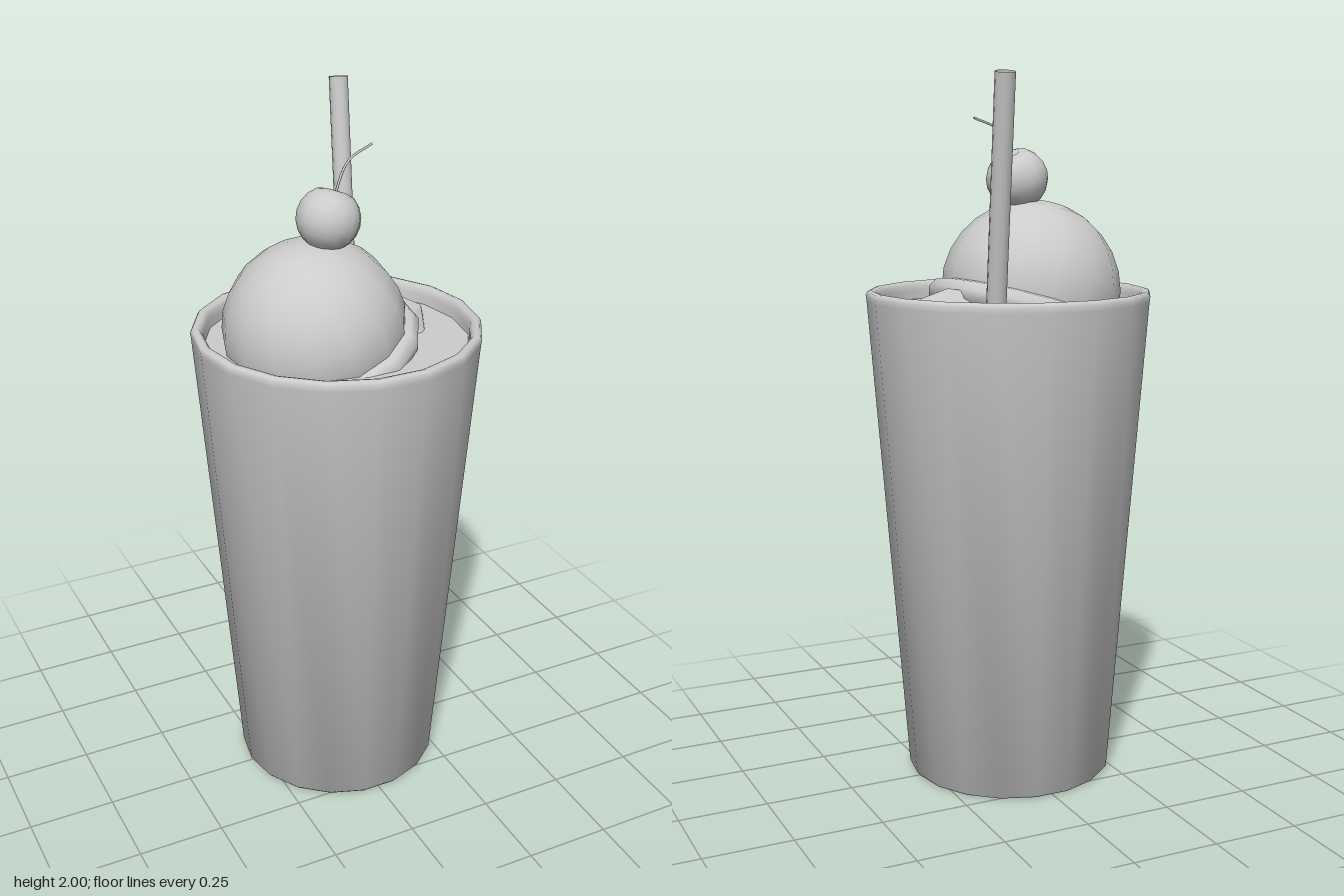
import * as THREE from 'three';
import { toCreasedNormals } from 'three/addons/utils/BufferGeometryUtils.js';
import { ConvexGeometry } from 'three/addons/geometries/ConvexGeometry.js';

const grey = new THREE.MeshStandardMaterial({ color: 0xcccccc, side: THREE.DoubleSide });
const faceted = new THREE.MeshStandardMaterial({ color: 0xcccccc, flatShading: true });
const v = (x, y, z) => new THREE.Vector3(x, y, z);

function mesh(name, geometry, material = grey) {
  const m = new THREE.Mesh(geometry, material);
  m.name = name;
  return m;
}

// Turned part from [radius, height] pairs, smooth except at sharp edges
function turned(name, profile, segments, crease = 0.8) {
  const points = profile.map(([r, y]) => new THREE.Vector2(r, y));
  return mesh(name, toCreasedNormals(new THREE.LatheGeometry(points, segments), crease));
}

export function createModel() {
  const model = new THREE.Group();
  model.name = 'icedDrink';

  // Tapered cup with a rounded rim and inner wall
  const cup = turned('cup', [
    [0, 0], [0.289, 0], [0.296, 0.008], [0.403, 1.385], [0.405, 1.4], [0.4, 1.409],
    [0.39, 1.412], [0.38, 1.409], [0.374, 1.4], [0.371, 1.385], [0.365, 1.3],
  ], 18);
  cup.rotation.y = Math.PI / 2;
  model.add(cup);

  // Drink surface
  const liquid = mesh('liquid', new THREE.CircleGeometry(0.371, 18));
  liquid.rotation.x = -Math.PI / 2;
  liquid.position.y = 1.36;
  model.add(liquid);

  // Tilted scoop: dome with a flared lip around its base
  const profile = [[0, -0.12], [0.24, -0.11], [0.278, -0.085], [0.284, -0.06], [0.27, -0.035], [0.252, -0.03]];
  for (let i = 0; i <= 7; i++) {
    const a = (i / 7) * Math.PI / 2;
    profile.push([i === 7 ? 0 : 0.257 * Math.cos(a), 0.257 * Math.sin(a)]);
  }
  const scoop = turned('scoop', profile, 15, 0.95);
  scoop.position.set(-0.068, 1.405, 0);
  scoop.rotation.set(0.07, 0, 0.3);
  model.add(scoop);

  // Cherry with a dimple and a curved stem
  const cherryProfile = [];
  for (let i = 0; i <= 10; i++) {
    const a = -Math.PI / 2 + (i / 10) * Math.PI;
    const dip = i === 10 ? 0.03 : i === 9 ? 0.006 : 0;
    cherryProfile.push([i % 10 ? 0.088 * Math.cos(a) : 0, 0.086 * Math.sin(a) - dip]);
  }
  const cherry = turned('cherry', cherryProfile, 16, 1.5);
  cherry.position.set(-0.031, 1.72, 0.012);
  cherry.rotation.set(-0.15, 0, -0.38);
  model.add(cherry);

  const stemPath = new THREE.CatmullRomCurve3([
    v(-0.008, 1.765, 0.002), v(0.01, 1.81, -0.008), v(0.05, 1.857, -0.03), v(0.13, 1.886, -0.052),
  ]);
  model.add(mesh('cherryStem', new THREE.TubeGeometry(stemPath, 12, 0.0035, 6)));

  // Open straw leaning to the back
  const bottom = v(0.147, 1.2, -0.212), top = v(0.181, 1.996, -0.359);
  const axis = top.clone().sub(bottom);
  const straw = mesh('straw', new THREE.CylinderGeometry(0.027, 0.027, axis.length(), 12, 1, true));
  straw.position.copy(bottom).add(top).multiplyScalar(0.5);
  straw.quaternion.setFromUnitVectors(v(0, 1, 0), axis.normalize());
  model.add(straw);

  // Ice pieces breaking the surface
  model.add(mesh('iceRight', new ConvexGeometry([
    v(0.165, 1.35, -0.175), v(0.29, 1.35, -0.095), v(0.312, 1.35, -0.067), v(0.247, 1.35, 0.062),
    v(0.2, 1.35, 0.066), v(0.1, 1.35, -0.02),
    v(0.19, 1.425, -0.11), v(0.225, 1.43, -0.085), v(0.288, 1.4, -0.042), v(0.215, 1.4, 0.03),
  ]), faceted));
  model.add(mesh('iceBack', new ConvexGeometry([
    v(-0.02, 1.35, -0.275), v(0.045, 1.35, -0.3), v(0.065, 1.35, -0.297), v(0.073, 1.35, -0.275),
    v(0.06, 1.35, -0.2), v(0, 1.35, -0.2),
    v(0, 1.39, -0.265), v(0.055, 1.385, -0.277), v(0.06, 1.39, -0.255), v(0.02, 1.4, -0.22),
  ]), faceted));

  return model;
}
